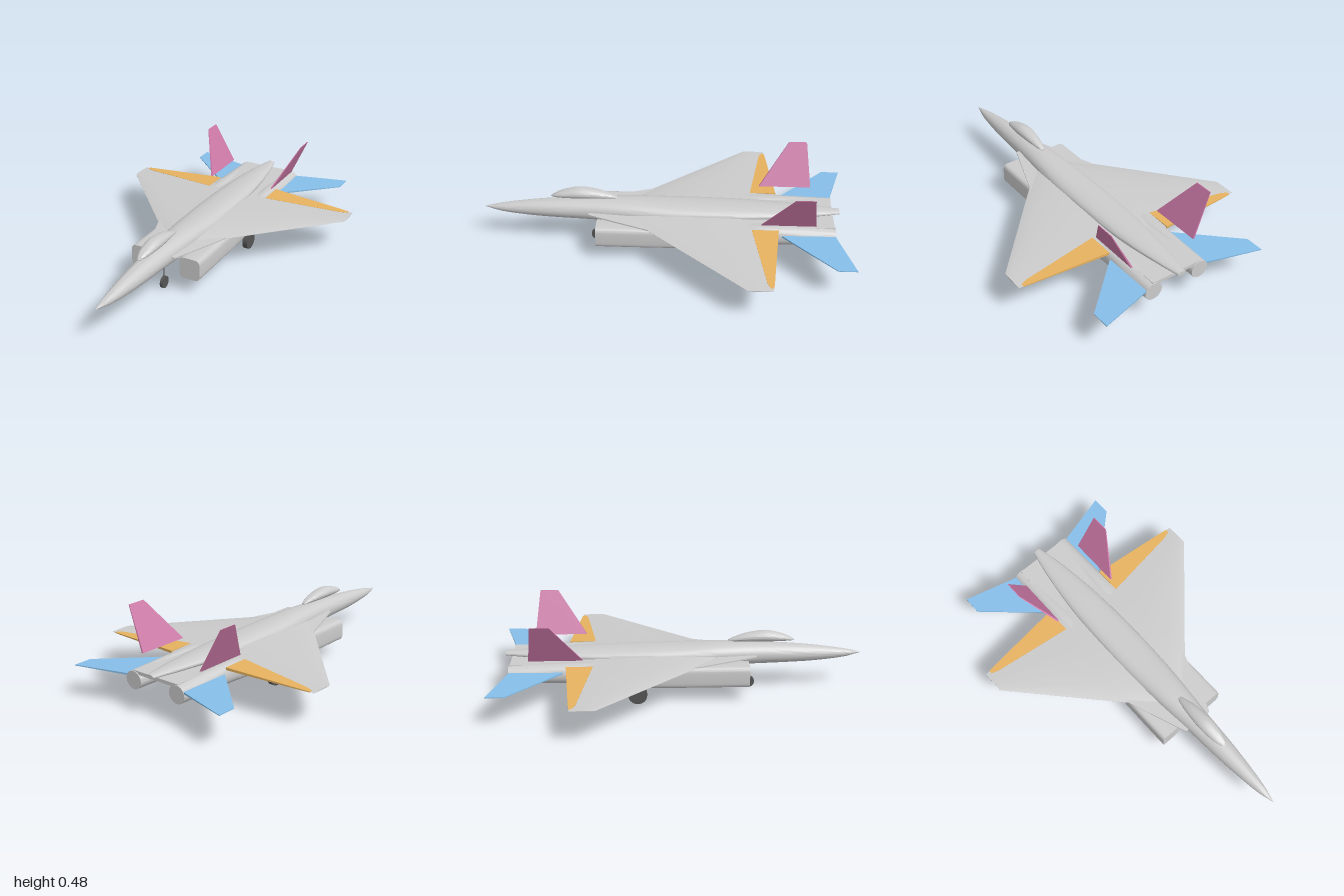
import * as THREE from 'three';
import { toCreasedNormals } from 'three/addons/utils/BufferGeometryUtils.js';

const material = (color) => new THREE.MeshStandardMaterial({ color });
const grey = material(0xcccccc);
const dark = material(0x555555);
const orange = material(0xe6b25f);
const blue = material(0x86bee9);
const pink = material(0xcc79a7);

// Skin a list of rings (equal point counts), close both ends, face outward.
function loft(rings, crease = 0.6) {
  const n = rings[0].length;
  const pos = rings.flat(2);
  const index = [];
  for (let i = 0; i < rings.length - 1; i++) {
    for (let j = 0; j < n; j++) {
      const a = i * n + j, b = i * n + (j + 1) % n;
      index.push(a, b, a + n, b, b + n, a + n);
    }
  }
  [0, rings.length - 1].forEach((r, end) => {
    const centre = [0, 1, 2].map((k) => rings[r].reduce((s, p) => s + p[k], 0) / n);
    const c = pos.length / 3;
    pos.push(...centre);
    for (let j = 0; j < n; j++) {
      const a = r * n + j, b = r * n + (j + 1) % n;
      index.push(c, ...(end ? [a, b] : [b, a]));
    }
  });
  // The signed volume tells whether the faces point inward.
  const v = (i) => new THREE.Vector3().fromArray(pos, i * 3);
  let volume = 0;
  for (let i = 0; i < index.length; i += 3) {
    volume += v(index[i]).dot(v(index[i + 1]).cross(v(index[i + 2])));
  }
  if (volume < 0) index.reverse();
  const g = new THREE.BufferGeometry();
  g.setAttribute('position', new THREE.Float32BufferAttribute(pos, 3));
  g.setIndex(index);
  return toCreasedNormals(g, crease);
}

// Rounded body along z. Rows: [z, half width, bottom y, top y, squareness].
function body(rows, x0 = 0, steps = 40, sides = 40) {
  const size = new THREE.CatmullRomCurve3(rows.map((r) => new THREE.Vector3(r[0], r[1], r[4])), false, 'catmullrom', 0.5);
  const height = new THREE.CatmullRomCurve3(rows.map((r) => new THREE.Vector3(r[2], r[3], 0)), false, 'catmullrom', 0.5);
  const rings = [];
  for (let i = 0; i <= steps; i++) {
    const s = size.getPoint(i / steps), h = height.getPoint(i / steps);
    const power = 2 / s.z, ring = [];
    for (let j = 0; j < sides; j++) {
      const a = j / sides * Math.PI * 2;
      const round = (t) => Math.sign(t) * Math.abs(t) ** power;
      ring.push([
        x0 + s.y * round(Math.cos(a)),
        (h.x + h.y) / 2 + (h.y - h.x) / 2 * round(Math.sin(a)),
        s.x,
      ]);
    }
    rings.push(ring);
  }
  return loft(rings, 0.8);
}

// Thin slab between two chords: [x, y, leading z, trailing z, half thickness].
function slab(side, chords, vertical = false) {
  return loft(chords.map(([x, y, z0, z1, t]) => {
    const d = vertical ? [t, 0] : [0, t];
    return [[1, z0], [1, z1], [-1, z1], [-1, z0]].map(([s, z]) => [side * (x + s * d[0]), y + s * d[1], z]);
  }), 0.3);
}

// Wing with a lens-shaped section, same chord format as the slab.
function airfoil(side, chords) {
  const shape = [[0, 0.04], [0.06, 0.45], [0.18, 0.8], [0.38, 1], [0.6, 0.8], [0.8, 0.4], [1, 0.06]];
  const outline = [...shape, ...shape.map(([f, h]) => [f, -h]).reverse()];
  return loft(chords.map(([x, y, z0, z1, t]) =>
    outline.map(([f, h]) => [side * x, y + h * t, z0 + (z1 - z0) * f])), 0.4);
}

export function createModel() {
  const model = new THREE.Group();
  model.name = 'jetAircraft';
  const add = (name, geometry, mat = grey) => {
    const mesh = new THREE.Mesh(geometry, mat);
    mesh.name = name;
    model.add(mesh);
    return mesh;
  };

  // Fuselage from nose to tail boom
  add('fuselage', body([
    [1, 0.002, 0.198, 0.202, 2],
    [0.9, 0.026, 0.174, 0.222, 2],
    [0.75, 0.045, 0.158, 0.243, 2],
    [0.6, 0.058, 0.151, 0.257, 2],
    [0.4, 0.07, 0.147, 0.267, 2.1],
    [0.2, 0.087, 0.147, 0.27, 2.3],
    [0, 0.098, 0.15, 0.264, 2.4],
    [-0.2, 0.1, 0.16, 0.26, 2.4],
    [-0.4, 0.094, 0.175, 0.256, 2.3],
    [-0.6, 0.08, 0.19, 0.251, 2.1],
    [-0.8, 0.053, 0.204, 0.244, 2],
    [-0.95, 0.023, 0.213, 0.235, 2],
  ], 0, 55));

  // Canopy with a nearly flat underside
  add('canopy', body([
    [0.627, 0.003, 0.276, 0.281, 2],
    [0.605, 0.018, 0.275, 0.296, 2],
    [0.56, 0.032, 0.274, 0.315, 2],
    [0.47, 0.041, 0.273, 0.334, 2],
    [0.37, 0.034, 0.274, 0.322, 2],
    [0.3, 0.021, 0.275, 0.3, 2],
    [0.265, 0.01, 0.276, 0.284, 2],
  ], 0, 30));

  // Flat deck joining the engines
  add('rearDeck', slab(1, [[-0.15, 0.203, 0.1, -0.915, 0.009], [0.15, 0.203, 0.1, -0.915, 0.009]]));

  for (const side of [1, -1]) {
    const label = side > 0 ? 'left' : 'right';

    // Engine nacelle: square intake blending to a round nozzle
    add(label + 'Nacelle', body([
      [0.367, 0.06, 0.08, 0.2, 5],
      [0.15, 0.06, 0.08, 0.2, 5],
      [-0.05, 0.059, 0.08, 0.2, 4.5],
      [-0.2, 0.057, 0.083, 0.203, 4],
      [-0.38, 0.053, 0.1, 0.21, 3],
      [-0.55, 0.051, 0.108, 0.218, 2.4],
      [-0.75, 0.051, 0.11, 0.214, 2],
      [-0.92, 0.05, 0.113, 0.208, 2],
    ], side * 0.145));

    // Main wing, leading-edge strake and flap
    add(label + 'Wing', airfoil(side, [
      [0.02, 0.212, 0.3, -0.625, 0.019],
      [0.2, 0.206, 0.095, -0.612, 0.015],
      [0.685, 0.193, -0.44, -0.565, 0.003],
    ]));
    add(label + 'Strake', slab(side, [
      [0.04, 0.212, 0.42, -0.1, 0.005],
      [0.086, 0.211, 0.415, -0.1, 0.004],
      [0.21, 0.206, 0.08, -0.1, 0.003],
    ]));
    add(label + 'Flap', slab(side, [
      [0.185, 0.206, -0.47, -0.614, 0.0072],
      [0.62, 0.195, -0.535, -0.573, 0.0028],
      [0.66, 0.194, -0.55, -0.568, 0.0022],
    ]), orange);

    // Tail surfaces
    add(label + 'Stabilizer', slab(side, [
      [0.17, 0.18, -0.61, -0.912, 0.005],
      [0.485, 0.18, -0.9, -1, 0.002],
    ]), blue);
    add(label + 'Fin', slab(side, [
      [0.195, 0.255, -0.52, -0.807, 0.005],
      [0.305, 0.48, -0.68, -0.78, 0.002],
    ], true), pink);
  }

  // Landing gear: a wheel and a strut at each station
  const gear = (name, x, z, radius, width, strutTop, strutRadius) => {
    const tyre = new THREE.CylinderGeometry(radius, radius, width, 28).rotateZ(Math.PI / 2);
    add(name + 'Wheel', tyre, dark).position.set(x, radius, z);
    const length = strutTop - radius;
    const strut = new THREE.CylinderGeometry(strutRadius, strutRadius, length, 12);
    add(name + 'Strut', strut, dark).position.set(x, radius + length / 2, z);
  };
  gear('nose', 0, 0.38, 0.033, 0.016, 0.13, 0.0025);
  gear('leftMain', 0.194, -0.235, 0.051, 0.028, 0.13, 0.006);
  gear('rightMain', -0.194, -0.235, 0.051, 0.028, 0.13, 0.006);

  return model;
}
